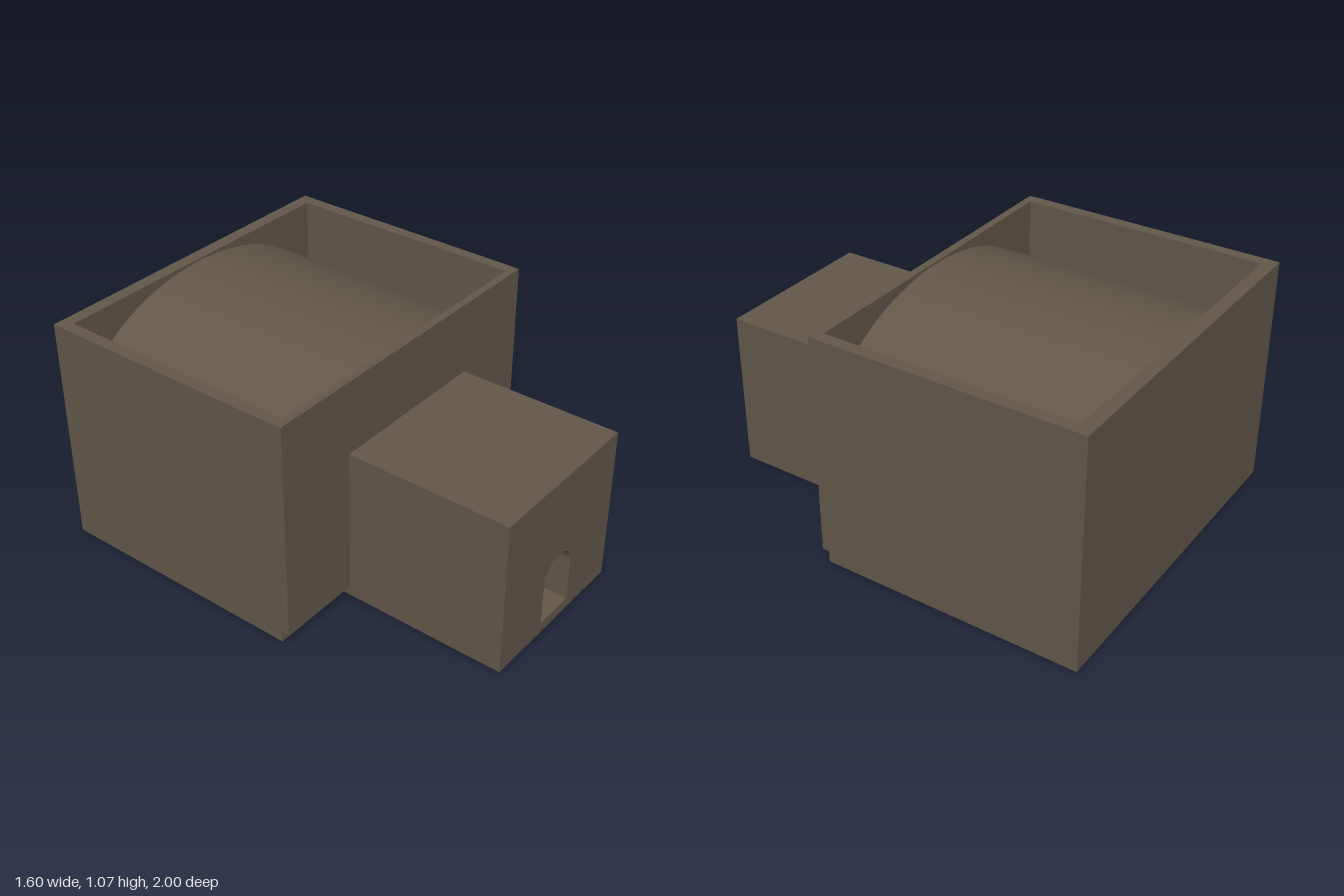
import * as THREE from 'three';
import { toCreasedNormals } from 'three/addons/utils/BufferGeometryUtils.js';

const stone = new THREE.MeshStandardMaterial({ color: 0x62584a });
stone.name = 'stone';

const extrude = (shape, depth) =>
  new THREE.ExtrudeGeometry(shape, { depth, bevelEnabled: false, curveSegments: 32 });

const polygon = (points) => new THREE.Shape(points.map(([x, y]) => new THREE.Vector2(x, y)));

export function createModel() {
  const model = new THREE.Group();
  model.name = 'stoneBuilding';

  const add = (name, geometry, x = 0, y = 0, z = 0) => {
    const mesh = new THREE.Mesh(geometry, stone);
    mesh.name = name;
    mesh.position.set(x, y, z);
    model.add(mesh);
    return mesh;
  };

  // Hall: three walls in a U, open towards the front
  const walls = extrude(polygon([
    [-0.8, -0.2], [-0.745, -0.2], [-0.745, 0.94], [0.745, 0.94],
    [0.745, -0.2], [0.8, -0.2], [0.8, 1], [-0.8, 1],
  ]), 1.07);
  walls.rotateX(-Math.PI / 2);
  add('hallWalls', walls);
  add('hallFloor', new THREE.BoxGeometry(1.49, 0.05, 1.14), 0, 0.025, -0.37);

  // Front wall, raised slightly above the ground
  add('frontWall', new THREE.BoxGeometry(1.596, 1.02, 0.035), 0, 0.56, 0.2175);

  // Barrel vault sunk behind the parapet
  const arch = new THREE.Shape();
  arch.absellipse(0, 0, 0.745, 0.48, 0, Math.PI, false);
  add('vaultedRoof', toCreasedNormals(extrude(arch, 1.14), 0.6), 0, 0.58, -0.94);

  // Porch with an arched passage leading to the front wall
  const porch = polygon([[-0.4, 0], [0.4, 0], [0.4, 0.733], [-0.4, 0.733]]);
  const doorway = new THREE.Path();
  doorway.moveTo(-0.1, 0.05);
  doorway.lineTo(0.1, 0.05);
  doorway.lineTo(0.1, 0.25);
  doorway.absarc(0, 0.25, 0.1, 0, Math.PI, false);
  doorway.closePath();
  porch.holes.push(doorway);
  add('porch', toCreasedNormals(extrude(porch, 0.8), 0.6), 0, 0, 0.2);

  // Raised gate: crossbar and three short bars under the arch
  add('gateCrossbar', new THREE.BoxGeometry(0.1, 0.008, 0.01), 0, 0.339, 0.975);
  for (const x of [-0.042, 0, 0.042]) {
    add('gateBar', new THREE.BoxGeometry(0.009, 0.034, 0.01), x, 0.326, 0.975);
  }

  return model;
}
